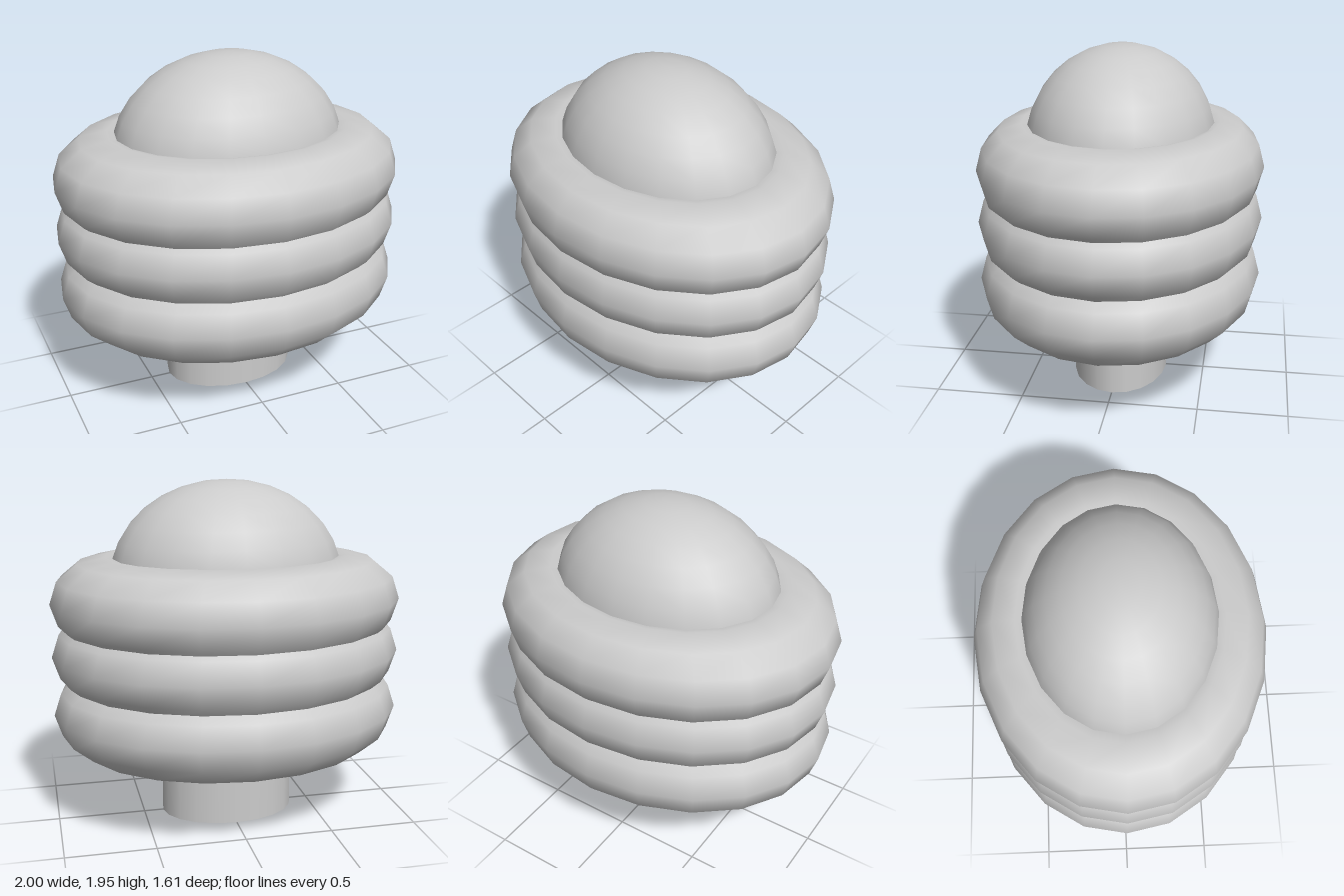
import * as THREE from 'three';

export function createModel() {
  const group = new THREE.Group();
  const material = new THREE.MeshStandardMaterial({ color: 0xcccccc });
  const depth = 0.806; // oval plan: z size relative to x

  const add = (name, geometry, y) => {
    const mesh = new THREE.Mesh(geometry, material);
    mesh.name = name;
    mesh.position.y = y;
    group.add(mesh);
  };

  // Three stacked oval rings
  const tube = 0.31;
  const rings = [['lowerRing', 0.636], ['middleRing', 0.975], ['upperRing', 1.276]];
  for (const [name, y] of rings) {
    const ring = new THREE.TorusGeometry(1 - tube, tube, 12, 20);
    ring.rotateX(-Math.PI / 2);
    ring.scale(1, 0.252 / tube, depth);
    add(name, ring, y);
  }

  // Domed cap resting in the upper ring
  const dome = new THREE.SphereGeometry(1, 20, 16);
  dome.scale(0.663, 0.545, 0.663 * depth);
  add('dome', dome, 1.4);

  // Oval stem rising into the rings
  const stem = new THREE.CylinderGeometry(1, 1, 1.1, 20);
  stem.scale(0.388, 1, 0.276);
  add('stem', stem, 0.55);

  return group;
}
